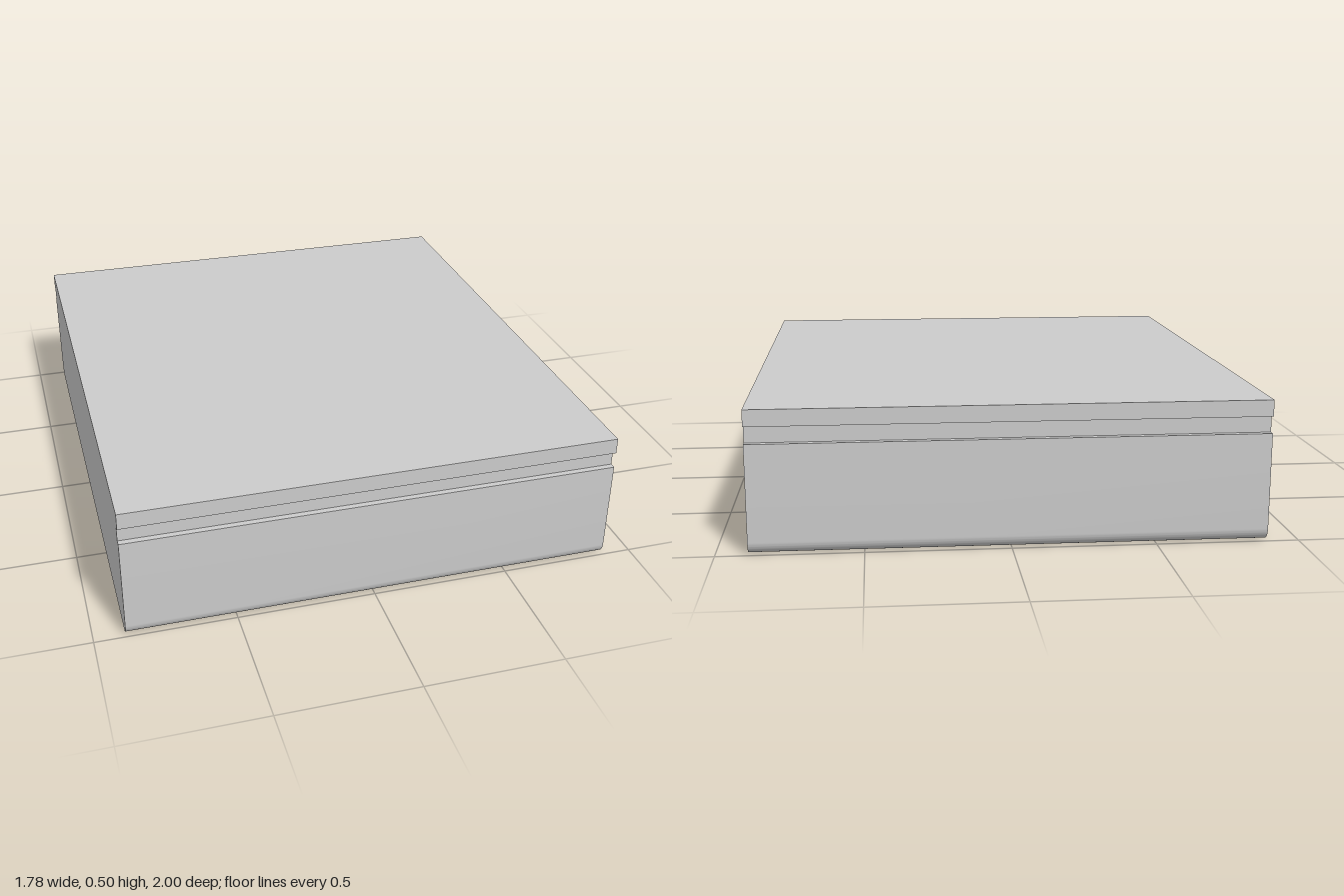
import * as THREE from 'three';
import { toCreasedNormals } from 'three/addons/utils/BufferGeometryUtils.js';

const WIDTH = 1.78;

export function createModel() {
  const model = new THREE.Group();
  const material = new THREE.MeshStandardMaterial({ color: 0xcccccc });

  const add = (name, geometry, y = 0) => {
    const mesh = new THREE.Mesh(geometry, material);
    mesh.name = name;
    mesh.position.y = y;
    model.add(mesh);
  };

  // Flat layer between two heights
  const addSlab = (name, bottom, top, depth) =>
    add(name, new THREE.BoxGeometry(WIDTH, top - bottom, depth), (bottom + top) / 2);

  // Main body: side profile with rounded lower edges, extruded across the width
  const height = 0.324, r = 0.045;
  const profile = new THREE.Shape();
  profile.moveTo(-1, height);
  profile.lineTo(-1, r);
  profile.absarc(-1 + r, r, r, Math.PI, Math.PI * 1.5, false);
  profile.lineTo(1 - r, 0);
  profile.absarc(1 - r, r, r, -Math.PI / 2, 0, false);
  profile.lineTo(1, height);
  profile.closePath();
  const body = new THREE.ExtrudeGeometry(profile, { depth: WIDTH, bevelEnabled: false, curveSegments: 8 });
  body.translate(0, 0, -WIDTH / 2).rotateY(-Math.PI / 2);
  add('body', toCreasedNormals(body, Math.PI / 5));

  // Rim, recessed band and lid stacked on the body
  addSlab('rim', height, 0.383, 2);
  addSlab('recessedBand', 0.383, 0.442, 1.956);
  addSlab('lid', 0.442, 0.5, 2);

  return model;
}
